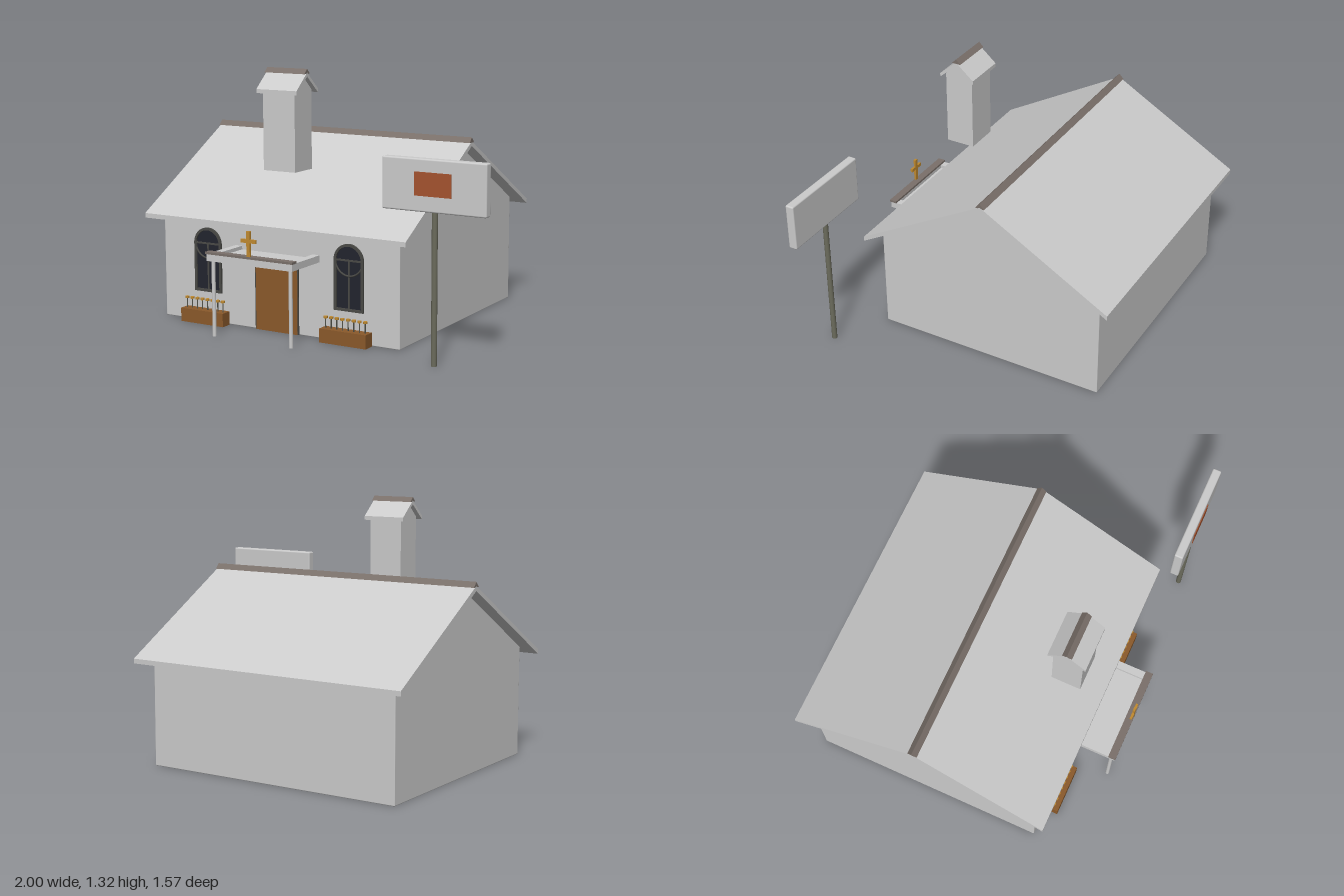
import * as THREE from 'three';
import { RoundedBoxGeometry } from 'three/addons/geometries/RoundedBoxGeometry.js';

const mat = (color) => new THREE.MeshStandardMaterial({ color });
const GREY = mat(0xcccccc), RIDGE = mat(0x7a706a), WOOD = mat(0x8b5a2b), DARK = mat(0x4a4a46),
  GLASS = mat(0x22242e), GOLD = mat(0xc08a30), POLE = mat(0x6b6b5c), RED = mat(0xa5532f), STEM = mat(0x55554c);

function add(parent, name, geometry, material) {
  const mesh = new THREE.Mesh(geometry, material);
  mesh.name = name;
  parent.add(mesh);
  return mesh;
}

// Box given by its limits on each axis, optionally with softened edges
function box(x0, x1, y0, y1, z0, z1, r = 0) {
  const s = [x1 - x0, y1 - y0, z1 - z0];
  const g = r ? new RoundedBoxGeometry(...s, 2, r) : new THREE.BoxGeometry(...s);
  return g.translate((x0 + x1) / 2, (y0 + y1) / 2, (z0 + z1) / 2);
}

function rod(x, y0, y1, z, r, sides = 16) {
  return new THREE.CylinderGeometry(r, r, y1 - y0, sides).translate(x, (y0 + y1) / 2, z);
}

// Side outline of [z, y] points, extruded along x
function prism(points, x0, x1) {
  const shape = new THREE.Shape(points.map(([z, y]) => new THREE.Vector2(-z, y)));
  return new THREE.ExtrudeGeometry(shape, { depth: x1 - x0, bevelEnabled: false })
    .rotateY(Math.PI / 2).translate(x0, 0, 0);
}

// Two sloping slabs meeting at a ridge, with a small cap on top
function gableRoof(parent, name, zMid, half, eaveY, ridgeY, thick, x0, x1, capW, capH) {
  for (const s of [1, -1]) {
    add(parent, name + (s > 0 ? 'Front' : 'Back'), prism([
      [zMid, ridgeY], [zMid + s * half, eaveY],
      [zMid + s * half, eaveY - thick], [zMid, ridgeY - thick]], x0, x1), GREY);
  }
  add(parent, name + 'RidgeCap', prism([
    [zMid - capW, ridgeY - 0.007], [zMid + capW, ridgeY - 0.007], [zMid, ridgeY + capH]], x0, x1), RIDGE);
}

function archShape(w, h, target) {
  target.moveTo(-w, 0);
  target.lineTo(w, 0);
  target.lineTo(w, h);
  target.absarc(0, h, w, 0, Math.PI, false);
  target.lineTo(-w, 0);
  return target;
}

function archedWindow(x) {
  const g = new THREE.Group();
  g.name = 'archedWindow';
  const outer = archShape(0.083, 0.252, new THREE.Shape());
  const hole = new THREE.Path();
  hole.moveTo(-0.07, 0.013);
  hole.lineTo(-0.07, 0.252);
  hole.absarc(0, 0.252, 0.07, Math.PI, 0, true);
  hole.lineTo(0.07, 0.013);
  outer.holes.push(hole);
  const opts = { depth: 0.014, bevelEnabled: false, curveSegments: 24 };
  add(g, 'windowFrame', new THREE.ExtrudeGeometry(outer, opts), DARK);
  const pane = archShape(0.075, 0.252, new THREE.Shape());
  add(g, 'glass', new THREE.ExtrudeGeometry(pane, { ...opts, depth: 0.005 }), GLASS);
  add(g, 'ring', new THREE.TorusGeometry(0.077, 0.005, 8, 40).translate(0, 0.252, 0.007), DARK);
  add(g, 'mullion', box(-0.004, 0.004, 0.01, 0.25, 0.003, 0.01), DARK);
  add(g, 'transom', box(-0.075, 0.075, 0.248, 0.257, 0.003, 0.01), DARK);
  g.position.set(x, 0.157, 0.527);
  return g;
}

function planter(x) {
  const g = new THREE.Group();
  g.name = 'planter';
  add(g, 'planterBox', box(-0.131, 0.131, 0, 0.07, 0.54, 0.6), WOOD);
  for (let i = 0; i < 8; i++) {
    const fx = (i - 3.5) * 0.032;
    add(g, 'stem', rod(fx, 0.07, 0.122, 0.57, 0.003, 6), STEM);
    add(g, 'flower', rod(fx, 0.119, 0.129, 0.57, 0.011, 8), GOLD);
  }
  g.position.x = x;
  return g;
}

export function createModel() {
  const model = new THREE.Group();
  model.name = 'chapel';
  const cx = -0.232;

  // Hall
  add(model, 'walls', box(-0.93, 0.466, 0, 0.565, -0.715, 0.53, 0.004), GREY);
  add(model, 'gable', prism([[0.53, 0.56], [-0.09, 0.922], [-0.715, 0.56]], -0.93, 0.466), GREY);
  gableRoof(model, 'roof', -0.093, 0.694, 0.547, 0.943, 0.024, -1, 0.535, 0.025, 0.02);

  // Bell tower
  const tower = new THREE.Group();
  tower.name = 'tower';
  add(tower, 'towerBody', box(-0.325, -0.14, 0.81, 1.21, 0.345, 0.5), GREY);
  add(tower, 'towerGable', prism([[0.5, 1.21], [0.4225, 1.28], [0.345, 1.21]], -0.325, -0.14), GREY);
  gableRoof(tower, 'towerRoof', 0.4225, 0.098, 1.215, 1.299, 0.02, -0.35, -0.115, 0.025, 0.018);
  model.add(tower);

  // Door
  add(model, 'doorFrame', box(-0.361, -0.104, 0, 0.38, 0.525, 0.537), DARK);
  add(model, 'door', box(-0.354, -0.109, 0, 0.372, 0.53, 0.541), WOOD);
  add(model, 'doorKnob', new THREE.SphereGeometry(0.008, 12, 8).translate(-0.14, 0.155, 0.545), DARK);

  // Porch
  const porch = new THREE.Group();
  porch.name = 'porch';
  add(porch, 'canopy', box(cx - 0.245, cx + 0.245, 0.385, 0.4, 0.53, 0.77), GREY);
  for (const s of [-1, 1]) {
    add(porch, 'post', rod(cx + s * 0.226, 0, 0.39, 0.756, 0.01), GREY);
    const bx = cx + s * 0.23;
    add(porch, 'sideBeam', box(bx - 0.02, bx + 0.02, 0.383, 0.418, 0.53, 0.775), GREY);
  }
  add(porch, 'frontBeam', box(cx - 0.25, cx + 0.25, 0.383, 0.418, 0.745, 0.78), GREY);
  add(porch, 'frontTrim', box(cx - 0.254, cx + 0.254, 0.418, 0.429, 0.745, 0.785), RIDGE);
  add(porch, 'crossUpright', box(cx - 0.01, cx + 0.01, 0.425, 0.555, 0.77, 0.782), GOLD);
  add(porch, 'crossArm', box(cx - 0.043, cx + 0.043, 0.497, 0.515, 0.77, 0.782), GOLD);
  model.add(porch);

  // Windows and planters on both sides of the door
  for (const s of [-1, 1]) {
    model.add(archedWindow(cx + s * 0.419));
    model.add(planter(cx + s * 0.419));
  }

  // Roadside sign
  const sign = new THREE.Group();
  sign.name = 'sign';
  add(sign, 'signPole', rod(0.732, 0, 0.73, 0.687, 0.014), POLE);
  add(sign, 'signBoard', box(0.468, 1, 0.72, 0.965, 0.664, 0.71, 0.008), GREY);
  add(sign, 'signPanel', box(0.638, 0.826, 0.795, 0.905, 0.7, 0.714), RED);
  model.add(sign);

  return model;
}
